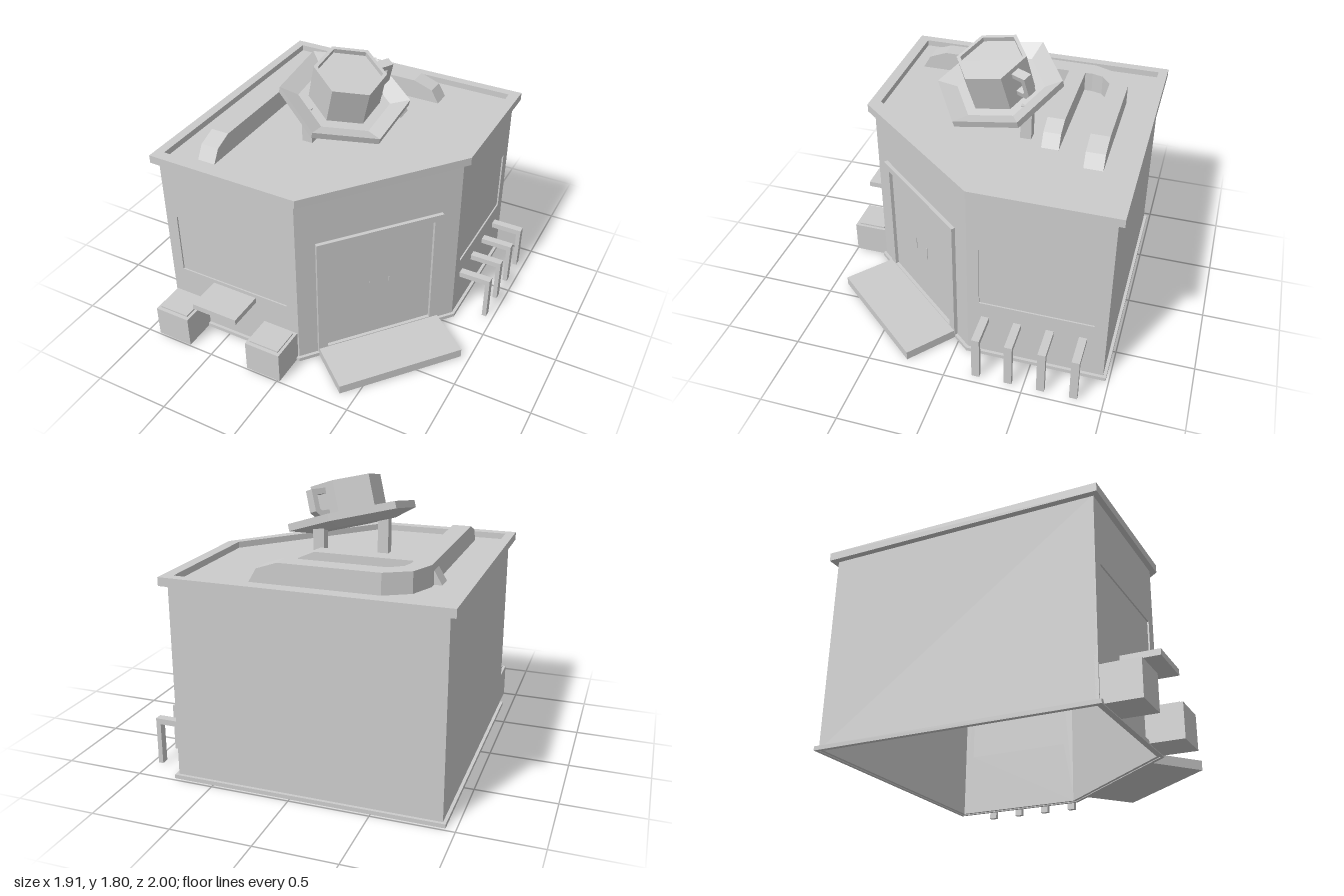
import * as THREE from 'three';

const grey = new THREE.MeshStandardMaterial({ color: 0xcccccc, flatShading: true, side: THREE.DoubleSide });

function add(parent, name, geometry, x = 0, y = 0, z = 0) {
  const mesh = new THREE.Mesh(geometry, grey);
  mesh.name = name;
  mesh.position.set(x, y, z);
  parent.add(mesh);
  return mesh;
}

// Box given by its min and max on each axis
function box(parent, name, x0, x1, y0, y1, z0, z1) {
  return add(parent, name, new THREE.BoxGeometry(x1 - x0, y1 - y0, z1 - z0),
    (x0 + x1) / 2, (y0 + y1) / 2, (z0 + z1) / 2);
}

const shapeOf = (pts) => new THREE.Shape(pts.map(([x, y]) => new THREE.Vector2(x, y)));
const rect = (x0, x1, y0, y1) => [[x0, y0], [x1, y0], [x1, y1], [x0, y1]];
const extrude = (shape, depth) => new THREE.ExtrudeGeometry(shape, { depth, bevelEnabled: false });
// Plan outline in x,z turned into a shape that lies flat after rotateX(-90 degrees)
const plan = (pts) => shapeOf(pts.map(([x, z]) => [x, -z]));

function ring(parent, name, outer, inner, y0, y1) {
  const shape = plan(outer);
  shape.holes.push(plan(inner));
  add(parent, name, extrude(shape, y1 - y0).rotateX(-Math.PI / 2), 0, y0, 0);
}

// Duct lofted through rows of [xLeft, zLeft, xRight, zRight, top]
function duct(parent, name, rows, base) {
  const pos = [];
  const quad = (a, b, c, d) => pos.push(...a, ...b, ...c, ...a, ...c, ...d);
  const section = ([xl, zl, xr, zr, top]) => [[xl, base, zl], [xl, top, zl], [xr, top, zr], [xr, base, zr]];
  for (let i = 0; i < rows.length - 1; i++) {
    const p = section(rows[i]), q = section(rows[i + 1]);
    for (let k = 0; k < 4; k++) {
      const n = (k + 1) % 4;
      quad(p[k], p[n], q[n], q[k]);
    }
  }
  quad(...section(rows[0]));
  quad(...section(rows[rows.length - 1]).reverse());
  const g = new THREE.BufferGeometry();
  g.setAttribute('position', new THREE.Float32BufferAttribute(pos, 3));
  g.computeVertexNormals();
  add(parent, name, g);
}

// Five-sided footprint with the cut-off entrance corner
const footprint = [[-0.92, 0.765], [0.03, 0.765], [0.74, -0.08], [0.74, -0.96], [-0.92, -0.96]];
const skirtLine = [[-0.94, 0.785], [0.04, 0.785], [0.76, -0.073], [0.76, -0.98], [-0.94, -0.98]];
const roofLine = [[-0.96, 0.8], [0.06, 0.8], [0.78, -0.09], [0.78, -1], [-0.96, -1]];
const roofInner = [[-0.9, 0.73], [0, 0.73], [0.71, -0.09], [0.71, -0.94], [-0.9, -0.94]];

function buildWalls(group) {
  const names = ['frontWall', 'entranceWall', 'rightWall', 'backWall', 'leftWall'];
  const windows = { frontWall: [0.08, 0.87], rightWall: [0.075, 0.8] };
  const thick = 0.02;
  footprint.forEach(([ax, az], i) => {
    const [bx, bz] = footprint[(i + 1) % footprint.length];
    const length = Math.hypot(bx - ax, bz - az);
    // Local frame: x along the wall, z outward
    const wall = new THREE.Group();
    wall.name = names[i];
    wall.position.set(ax, 0, az);
    wall.rotation.y = Math.atan2(az - bz, bx - ax);
    group.add(wall);
    const shape = shapeOf(rect(0, length, 0.005, 1.245));
    const win = windows[names[i]];
    if (win) {
      shape.holes.push(shapeOf(rect(win[0], win[1], 0.42, 0.845)));
      box(wall, 'windowPane', win[0], win[1], 0.42, 0.845, -thick, -0.01);
    }
    add(wall, 'wallPanel', extrude(shape, thick), 0, 0, -thick);
    if (names[i] === 'entranceWall') buildEntrance(wall, length / 2);
  });
}

function buildEntrance(wall, mid) {
  // Door frame, double door, handles and step
  const frame = shapeOf(rect(mid - 0.425, mid + 0.425, 0.03, 0.91));
  frame.holes.push(shapeOf(rect(mid - 0.365, mid + 0.365, 0.07, 0.865)));
  add(wall, 'doorFrame', extrude(frame, 0.025));
  box(wall, 'door', mid - 0.365, mid + 0.365, 0.07, 0.865, -0.02, 0.002);
  for (const s of [-1, 1]) {
    const x = mid + s * 0.068;
    box(wall, 'doorHandle', x - 0.003, x + 0.003, 0.41, 0.5, 0, 0.006);
  }
  box(wall, 'step', mid - 0.423, mid + 0.423, 0.005, 0.065, 0, 0.377);
}

function buildSign(group) {
  // Tilted six-sided cup on a saucer, held by two posts
  box(group, 'signPost', -0.26, -0.19, 1.25, 1.49, 0.09, 0.16);
  box(group, 'signPost', 0.03, 0.1, 1.25, 1.48, -0.3, -0.23);
  const sign = new THREE.Group();
  sign.name = 'cupSign';
  sign.position.set(-0.06, 1.536, -0.045);
  sign.quaternion.setFromUnitVectors(new THREE.Vector3(0, 1, 0), new THREE.Vector3(0.28, 1, 0.18).normalize());
  group.add(sign);
  const hex = (name, pts) =>
    add(sign, name, new THREE.LatheGeometry(pts.map(([x, y]) => new THREE.Vector2(x, y)), 6));
  hex('saucer', [[0, -0.085], [0.27, -0.085], [0.41, -0.045], [0.41, 0], [0.29, -0.05], [0, -0.05]]);
  hex('cup', [[0, -0.05], [0.225, -0.05], [0.225, 0.2], [0.2, 0.2], [0.2, 0.17], [0, 0.17]]);
  const loop = shapeOf([[0.185, 0], [0.27, 0], [0.305, 0.04], [0.305, 0.17], [0.185, 0.17]]);
  loop.holes.push(shapeOf(rect(0.185, 0.27, 0.035, 0.135)));
  const c = [[0.185, 0], [0.265, 0], [0.3, 0.035], [0.3, 0.17], [0.185, 0.17],
    [0.185, 0.135], [0.265, 0.135], [0.265, 0.05], [0.25, 0.035], [0.185, 0.035]];
  const handle = add(sign, 'cupHandle', extrude(shapeOf(c), 0.06).translate(0, 0, -0.03));
  handle.rotation.y = Math.PI / 3;
}

export function createModel() {
  const group = new THREE.Group();
  group.name = 'cornerCafe';

  buildWalls(group);
  ring(group, 'baseSkirt', skirtLine, footprint, 0, 0.025);
  ring(group, 'roofParapet', roofLine, roofInner, 1.237, 1.29);
  add(group, 'roofDeck', new THREE.ShapeGeometry(plan(footprint)).rotateX(-Math.PI / 2), 0, 1.25, 0);

  // Roof ducts: long bent one, short branch and a small wedge outlet
  const base = 1.25, top = 1.38, mid = 1.335;
  duct(group, 'longDuct', [
    [-0.71, 0.65, -0.59, 0.65, base], [-0.71, 0.6, -0.59, 0.6, mid], [-0.71, 0.485, -0.59, 0.485, top],
    [-0.71, -0.54, -0.59, -0.54, top], [-0.645, -0.7, -0.57, -0.61, top], [-0.49, -0.79, -0.49, -0.67, top],
    [0.13, -0.79, 0.13, -0.67, top], [0.26, -0.79, 0.26, -0.67, mid], [0.31, -0.79, 0.31, -0.67, base],
  ], base);
  duct(group, 'branchDuct', [
    [-0.6, -0.49, -0.6, -0.38, top], [0.02, -0.49, 0.02, -0.38, top],
    [0.12, -0.49, 0.12, -0.38, mid], [0.17, -0.49, 0.17, -0.38, base],
  ], base);
  duct(group, 'ductOutlet', [
    [-0.76, -0.49, -0.76, -0.38, base], [-0.71, -0.49, -0.71, -0.38, mid], [-0.7, -0.49, -0.7, -0.38, mid],
  ], base);

  buildSign(group);

  // Front shelf and the two planters
  box(group, 'windowShelf', -0.6, -0.28, 0.357, 0.395, 0.76, 1);
  for (const x of [-0.79, -0.1025]) {
    box(group, 'planter', x - 0.1225, x + 0.1225, 0.005, 0.222, 0.76, 0.995);
    box(group, 'planterSoil', x - 0.103, x + 0.103, 0.21, 0.232, 0.785, 0.97);
  }

  // Bike rails along the right side
  for (let i = 0; i < 4; i++) {
    const z = -0.195 - 0.207 * i;
    box(group, 'bikeRailArm', 0.735, 0.955, 0.275, 0.312, z - 0.025, z + 0.025);
    box(group, 'bikeRailLeg', 0.925, 0.955, 0.005, 0.275, z - 0.025, z + 0.025);
  }
  return group;
}
